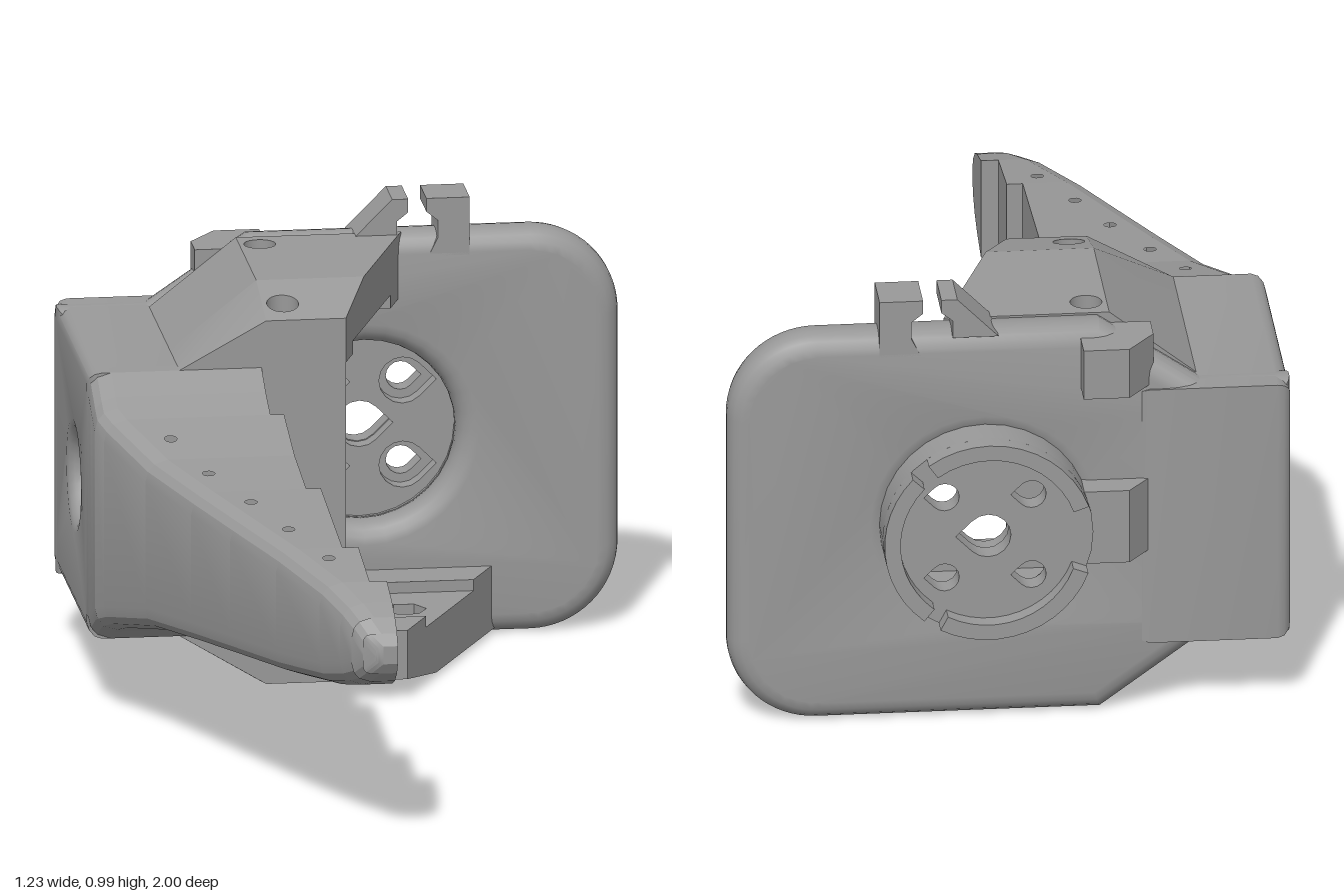
import * as THREE from 'three';
import { toCreasedNormals } from 'three/addons/utils/BufferGeometryUtils.js';
import { ConvexGeometry } from 'three/addons/geometries/ConvexGeometry.js';

const grey = new THREE.MeshStandardMaterial({ color: 0x999999 });
grey.name = 'grey plastic';
const MID = 0.46; // height of the main axis

const V = (pts) => pts.map(([x, y]) => new THREE.Vector2(x, y));

// regular outline around a point
const round = (x, y, r, n = 20) =>
  Array.from({ length: n }, (_, i) => {
    const a = (i / n) * Math.PI * 2;
    return [x + r * Math.cos(a), y + r * Math.sin(a)];
  });

// round hole with a point towards +x
const teardrop = (x, y, r) => {
  const pts = [[x + r * 1.42, y]];
  for (let i = 0; i <= 12; i++) {
    const a = Math.PI * (0.25 + (1.5 * i) / 12);
    pts.push([x + r * Math.cos(a), y + r * Math.sin(a)]);
  }
  return pts;
};

function shapeOf(points, holes = []) {
  const s = new THREE.Shape(V(points));
  holes.forEach((h) => s.holes.push(new THREE.Path(V(h))));
  return s;
}

// plan outline (x, z) raised between two surfaces lo(x, z) and hi(x, z)
function prism(points, lo, hi, holes = []) {
  const flip = (l) => l.map(([x, z]) => [x, -z]);
  const g = new THREE.ExtrudeGeometry(shapeOf(flip(points), holes.map(flip)), { depth: 1, bevelEnabled: false });
  g.rotateX(-Math.PI / 2);
  const p = g.attributes.position;
  for (let i = 0; i < p.count; i++) {
    const f = p.getY(i) > 0.5 ? hi : lo;
    p.setY(i, typeof f === 'number' ? f : f(p.getX(i), p.getZ(i)));
  }
  return toCreasedNormals(g, 0.5);
}

// front outline (x, y) extruded from z0 to z1
function plateZ(points, z0, z1, holes = []) {
  const g = new THREE.ExtrudeGeometry(shapeOf(points, holes), { depth: z1 - z0, bevelEnabled: false });
  return toCreasedNormals(g.translate(0, 0, z0), 0.5);
}

export function createModel() {
  const model = new THREE.Group();
  model.name = 'fingerBracket';
  const add = (parent, name, geometry) => {
    const m = new THREE.Mesh(geometry, grey);
    m.name = name;
    parent.add(m);
    return m;
  };
  const group = (name) => {
    const g = new THREE.Group();
    g.name = name;
    model.add(g);
    return g;
  };

  // back plate with rounded rim and a tapered round opening
  const s = new THREE.Shape();
  s.moveTo(-0.575, 0.205);
  s.lineTo(-0.41, 0.205);
  s.lineTo(-0.19, 0.045);
  s.lineTo(0.405, 0.045);
  s.absarc(0.415, 0.195, 0.15, -Math.PI / 2, 0, false);
  s.absarc(0.415, 0.715, 0.15, 0, Math.PI / 2, false);
  s.lineTo(-0.19, 0.865);
  s.lineTo(-0.41, 0.715);
  s.lineTo(-0.575, 0.715);
  s.closePath();
  s.holes.push(new THREE.Path(V(round(0.05, MID, 0.25, 32))));
  const plate = new THREE.ExtrudeGeometry(s, {
    depth: 0.02, bevelThickness: 0.045, bevelSize: 0.045, bevelSegments: 4, curveSegments: 8,
  });
  add(model, 'backPlate', toCreasedNormals(plate.translate(0, 0, -0.84), 0.6));

  // round hub behind the plate with five screw holes
  const hub = group('hub');
  const holes = (r, R) => [
    teardrop(0.05, MID, R),
    ...[[-1, -1], [1, -1], [-1, 1], [1, 1]].map(([a, b]) => teardrop(0.05 + a * 0.095, MID + b * 0.095, r)),
  ];
  add(hub, 'hubWall', plateZ(round(0.05, MID, 0.23, 32), -0.96, -0.86, [round(0.05, MID, 0.208, 32)]));
  add(hub, 'hubFrontDisc', plateZ(round(0.05, MID, 0.215, 32), -0.91, -0.87, holes(0.052, 0.052)));
  add(hub, 'hubBackDisc', plateZ(round(0.05, MID, 0.215, 32), -0.96, -0.91, holes(0.032, 0.05)));
  for (const [from, to] of [[-0.9, 0.75], [0.95, 2.8], [3.5, 5.2]]) {
    const arc = (r, i) => {
      const a = from + ((to - from) * i) / 12;
      return [0.05 + r * Math.cos(a), MID + r * Math.sin(a)];
    };
    const idx = [...Array(13).keys()];
    add(hub, 'hubRim', plateZ([...idx.map((i) => arc(0.23, i)), ...idx.reverse().map((i) => arc(0.195, i))], -1, -0.955));
  }

  // wedge blocks on the back, one beside the hub and one on the upper edge
  for (const [name, y0, y1, x1] of [['hubBlock', 0.38, 0.55, -0.15], ['upperLug', 0.77, 0.885, -0.16]]) {
    const pts = [];
    for (const y of [y0, y1])
      for (const [x, z] of [[-0.32, -0.87], [-0.26, -0.95], [x1, -0.95], [x1, -0.8], [-0.32, -0.8]])
        pts.push(new THREE.Vector3(x, y, z));
    add(model, name, toCreasedNormals(new ConvexGeometry(pts), 0.3));
  }

  // cable clip on top
  const clip = group('cableClip');
  add(clip, 'clipLeftProng', plateZ(
    [[0.02, 0.9], [0.11, 0.99], [0.145, 0.99], [0.145, 0.96], [0.12, 0.94], [0.12, 0.9]], -0.885, -0.775));
  add(clip, 'clipRightProng', plateZ(
    [[0.19, 0.86], [0.28, 0.86], [0.28, 0.99], [0.185, 0.99], [0.185, 0.96], [0.21, 0.94], [0.21, 0.9]], -0.885, -0.775));

  // side wall with a round hole across it
  const wall = new THREE.ExtrudeGeometry(
    shapeOf([[0.31, 0.19], [0.86, 0.19], [0.86, 0.73], [0.31, 0.73]], [round(0.53, MID, 0.125, 28)]),
    { depth: 0.28, bevelThickness: 0.03, bevelSize: 0.03, bevelSegments: 3 });
  add(model, 'sideWall', toCreasedNormals(wall.rotateY(-Math.PI / 2).rotateY(Math.PI).translate(-0.59, 0, 0), 0.6));
  add(model, 'frontLip', new THREE.BoxGeometry(0.265, 0.61, 0.04).translate(-0.1875, MID, -0.3));

  // upper and lower flaps: sloped shoulder, bevelled front and a grooved inside
  const F = -0.28, M = -0.45, B = -0.8;
  const flap = (name, sign, edge, front, rearHoles, frontHoles, groove, z1, z2) => {
    const g = group(name);
    const at = (v) => MID + sign * v; // distance from the axis to a height
    const solid = (label, pts, inner, outer, h) => {
      const fix = (f) => (x, z) => at(typeof f === 'number' ? f : f(x, z));
      add(g, label, sign > 0 ? prism(pts, fix(inner), fix(outer), h) : prism(pts, fix(outer), fix(inner), h));
    };
    const slab = (a, b, x0) => [[x0, a], [edge(a), a], [edge(b), b], [x0, b]];
    const bevel = (x, z) => front + ((0.45 - front) * (F - z)) / (F - M);
    const shoulder = (x, z) => 0.3 + ((x + 0.42) / 0.19) * ((z > M ? bevel(x, z) : 0.45) - 0.3);
    solid('flapFront', slab(F, M, -0.23), groove, bevel, frontHoles);
    solid('flapRear', slab(M, B, -0.23), groove, 0.45, rearHoles);
    for (const [a, b] of [[F, M], [M, B]])
      solid('flapShoulder', [[-0.42, a], [-0.23, a], [-0.23, b], [-0.42, b]], 0.299, shoulder);
    solid('flapFrontRail', slab(F, z1, -0.23), 0.305, groove, frontHoles.filter(() => sign < 0));
    solid('flapRearRail', slab(z2, B, -0.23), 0.305, groove, rearHoles.slice(0, 1).filter(() => sign < 0));
  };
  flap('upperFlap', 1, (z) => -0.055 + (F - z) * 0.36, 0.405,
    [round(-0.185, -0.74, 0.035)], [round(-0.185, -0.35, 0.035)], 0.335, -0.345, -0.7);
  flap('lowerFlap', -1, (z) => 0.08 + (F - z) * 0.5, 0.415,
    [round(-0.11, -0.71, 0.028), round(0.11, -0.54, 0.045, 6), round(-0.05, -0.54, 0.045, 6)],
    [round(-0.11, -0.335, 0.03)], 0.33, -0.39, -0.67);

  // tapering stepped finger, built in slices along z with a rounded outer edge
  const finger = group('finger');
  const lerp = (table, z) => {
    let i = 1;
    while (i < table.length - 1 && z > table[i][0]) i++;
    const [a, u] = table[i - 1], [b, v] = table[i];
    return u + ((v - u) * (z - a)) / (b - a);
  };
  const half = [[-0.32, 0.3], [-0.28, 0.3], [-0.21, 0.265], [-0.13, 0.235], [-0.04, 0.208], [0.05, 0.192],
    [0.25, 0.172], [0.42, 0.157], [0.62, 0.14], [0.81, 0.115], [0.9, 0.092], [0.95, 0.072], [0.985, 0.045], [1, 0.02]];
  const outer = [[-0.32, -0.62], [-0.17, -0.62], [0.95, -0.2], [0.985, -0.18], [1, -0.155]];
  const inner = (z) => [[-0.13, -0.24], [0.25, -0.21], [0.62, -0.178], [0.81, -0.143], [2, -0.105]].find((s) => z < s[0])[1];
  const pins = [[-0.47, -0.04], [-0.41, 0.14], [-0.34, 0.32], [-0.28, 0.495], [-0.215, 0.675]];
  const cuts = [-0.32, -0.28, -0.21, -0.17, -0.13, 0.05, 0.25, 0.42, 0.62, 0.81, 0.9, 0.95, 0.985, 1];
  const widths = [0, 0.12, 0.4, 1];
  for (let i = 0; i + 1 < cuts.length; i++) {
    const a = cuts[i], b = cuts[i + 1], x1 = inner((a + b) / 2);
    const c = Math.min(0.05, lerp(half, b) * 0.9);
    const xa = lerp(outer, a), xb = lerp(outer, b);
    const height = (z) => ((z - a) / (b - a)) * (lerp(half, b) - lerp(half, a)) + lerp(half, a);
    const top = (x, z) => {
      const d = Math.min(1, Math.max(0, (x - lerp(outer, z)) / c));
      return height(z) - c * (1 - Math.sqrt(1 - (1 - d) ** 2));
    };
    const slice = (name, pts, h) =>
      add(finger, name, prism(pts, (x, z) => MID - top(x, z), (x, z) => MID + top(x, z), h));
    slice('fingerSlice', [[xa + c, a], [x1, a], [x1, b], [xb + c, b]],
      pins.filter((p) => p[1] > a && p[1] < b).map(([x, z]) => round(x, z, 0.014, 10)));
    for (let k = 0; k < 3; k++) {
      const u = widths[k] * c, v = widths[k + 1] * c;
      slice('fingerRoundedEdge', [[xa + u, a], [xa + v, a], [xb + v, b], [xb + u, b]]);
    }
  }
  return model;
}
